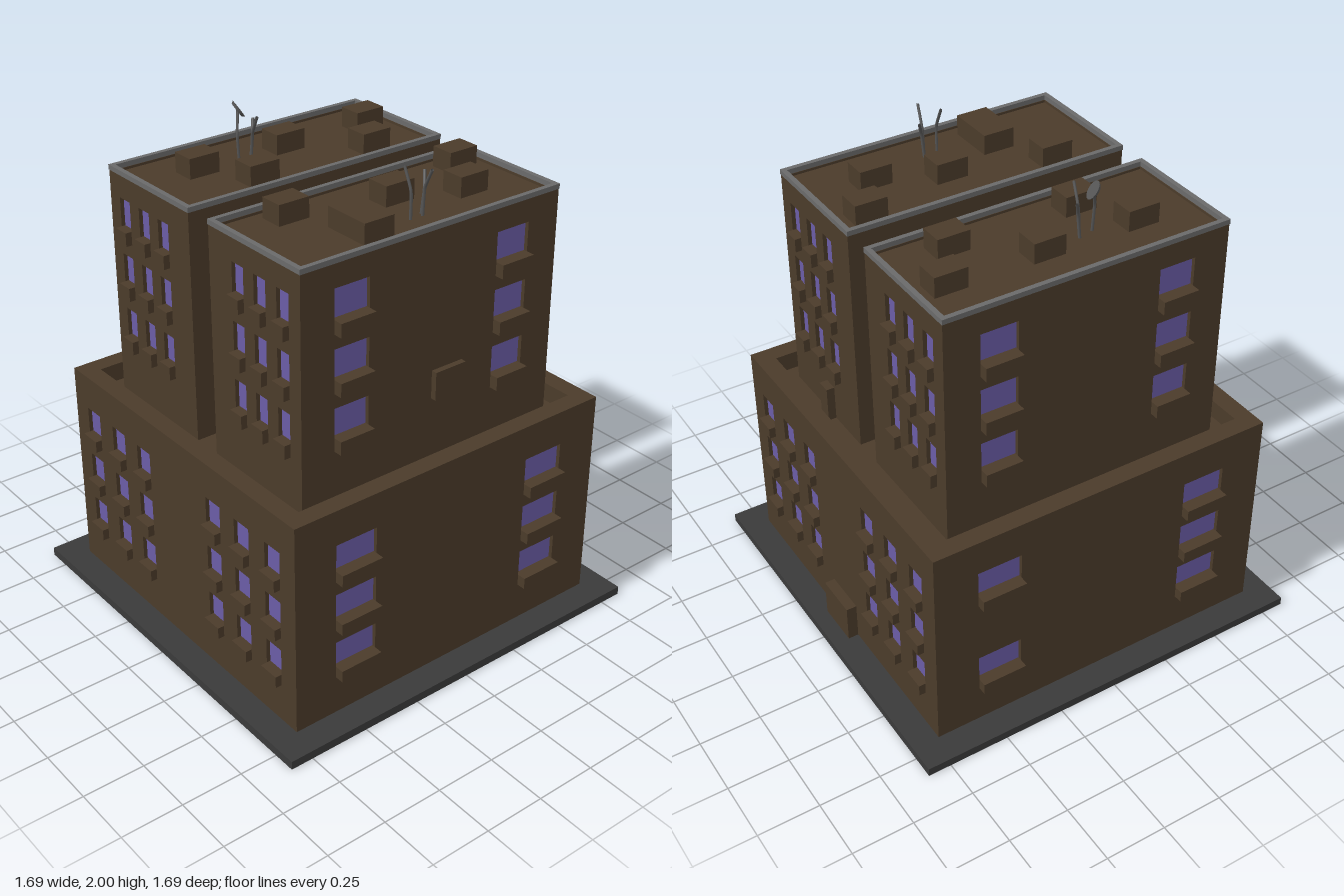
import * as THREE from 'three';

const mat = (color, extra = {}) => new THREE.MeshStandardMaterial({ color, ...extra });
const WALL = mat(0x4b3b2a), SLAB = mat(0x3a3a3a), PANE = mat(0x6a5ca6),
  TRIM = mat(0x6a6a6a), METAL = mat(0x555555, { side: THREE.DoubleSide });
const T = 0.02; // facade thickness, also window recess depth

function box(parent, name, material, x0, x1, y0, y1, z0, z1) {
  const m = new THREE.Mesh(new THREE.BoxGeometry(x1 - x0, y1 - y0, z1 - z0), material);
  m.position.set((x0 + x1) / 2, (y0 + y1) / 2, (z0 + z1) / 2);
  m.name = name;
  parent.add(m);
  return m;
}

function rect(Type, x0, x1, y0, y1) {
  return new Type([[x0, y0], [x1, y0], [x1, y1], [x0, y1]].map(([x, y]) => new THREE.Vector2(x, y)));
}

// Rectangular ring lying flat: outer half sizes hx, hz and rim width w
function ring(parent, name, material, hx, hz, w, y0, y1, cz) {
  const s = rect(THREE.Shape, -hx, hx, -hz, hz);
  s.holes.push(rect(THREE.Path, -hx + w, hx - w, -hz + w, hz - w));
  const m = new THREE.Mesh(new THREE.ExtrudeGeometry(s, { depth: y1 - y0, bevelEnabled: false }), material);
  m.rotation.x = -Math.PI / 2;
  m.position.set(0, y0, cz);
  m.name = name;
  parent.add(m);
}

// Wall panel facing local +z, with recessed windows and a planter ledge under each
function facade(name, width, y0, y1, windows, ledgeOut) {
  const g = new THREE.Group();
  g.name = name;
  const s = rect(THREE.Shape, -width / 2, width / 2, y0, y1);
  for (const { x, y, w, h, ledge } of windows) {
    const a = x - w / 2, b = x + w / 2;
    s.holes.push(rect(THREE.Path, a, b, y, y + h));
    box(g, 'windowPane', PANE, a, b, y, y + h, -T - 0.004, -T + 0.004);
    box(g, 'windowLedge', WALL, a, b, y - ledge, y, -T / 2, ledgeOut);
  }
  const wall = new THREE.Mesh(new THREE.ExtrudeGeometry(s, { depth: T, bevelEnabled: false }), WALL);
  wall.position.z = -T;
  wall.name = 'wall';
  g.add(wall);
  return g;
}

// Block with four facades around a solid core
function block(name, o) {
  const g = new THREE.Group();
  g.name = name;
  const { hx, hz, cz, y0, y1, roof } = o;
  box(g, 'core', WALL, -hx + T, hx - T, y0, roof, cz - hz + T, cz + hz - T);
  const grid = (cols, w) => cols.flatMap(x => o.rows.map((y, row) => ({ x, y, w, h: o.h, ledge: o.ledge, row })));
  const ends = grid(o.endCols, o.endW);
  const front = facade('frontWall', hx * 2, y0, y1, o.front ? ends : [], o.endOut);
  front.position.z = cz + hz;
  // local x is mirrored on the back wall
  const back = facade('backWall', hx * 2, y0, y1,
    o.back ? ends.filter(w => !(o.skipBack && w.x < 0 && w.row === 1)) : [], o.endOut);
  back.rotation.y = Math.PI;
  back.position.z = cz - hz;
  g.add(front, back);
  for (const s of [1, -1]) {
    const cols = o.sideCols.map(z => -s * (z - cz));
    const side = facade(s > 0 ? 'leftWall' : 'rightWall', (hz - T) * 2, y0, y1, grid(cols, o.sideW), o.sideOut);
    side.rotation.y = s * Math.PI / 2;
    side.position.set(s * hx, 0, cz);
    g.add(side);
  }
  return g;
}

function aerial(parent, points) {
  const curve = new THREE.CatmullRomCurve3(points.map(p => new THREE.Vector3(...p)), false, 'catmullrom', 0.2);
  const m = new THREE.Mesh(new THREE.TubeGeometry(curve, 10, 0.006, 6), METAL);
  m.name = 'aerial';
  parent.add(m);
}

export function createModel() {
  const model = new THREE.Group();
  model.name = 'building';
  box(model, 'groundSlab', SLAB, -0.845, 0.845, 0, 0.035, -0.845, 0.845);

  // Lower block with a parapet around its roof
  const lower = block('lowerBlock', {
    hx: 0.735, hz: 0.73, cz: 0, y0: 0.035, y1: 0.925, roof: 0.85,
    rows: [0.245, 0.457, 0.67], h: 0.11, ledge: 0.048,
    endCols: [-0.46, 0.46], endW: 0.185, endOut: 0.037,
    sideCols: [-0.597, -0.412, -0.233, 0.233, 0.412, 0.597], sideW: 0.09, sideOut: 0.027,
    front: true, back: true, skipBack: true,
  });
  ring(lower, 'parapet', WALL, 0.735 - T, 0.73 - T, 0.057, 0.85, 0.925, 0);
  box(lower, 'entranceDoor', WALL, 0.72, 0.778, 0.035, 0.192, -0.093, 0.093);
  model.add(lower);

  // Twin towers, mirrored front to back
  for (const s of [1, -1]) {
    const cz = s * 0.325;
    const tower = block(s > 0 ? 'frontTower' : 'backTower', {
      hx: 0.593, hz: 0.263, cz, y0: 0.85, y1: 1.785, roof: 1.775,
      rows: [1.113, 1.345, 1.575], h: 0.118, ledge: 0.055,
      endCols: [-0.372, 0.372], endW: 0.153, endOut: 0.037,
      sideCols: [0.232, 0.36, 0.49].map(z => s * z), sideW: 0.068, sideOut: 0.026,
      front: s > 0, back: s < 0,
    });
    ring(tower, 'roofTrim', TRIM, 0.595, 0.265, 0.02, 1.785, 1.805, cz);
    model.add(tower);
  }
  box(model, 'wallPanel', WALL, 0, 0.143, 1.115, 1.23, 0.575, 0.612);
  box(model, 'terraceDoor', WALL, 0.58, 0.626, 0.85, 0.997, 0.263, 0.322);

  // Rooftop units: x, z of the near corner and depth
  const units = [[-0.4, -0.43], [0, -0.43], [0.396, -0.43], [-0.268, -0.23], [0.265, -0.23],
    [-0.4, 0.12], [0.396, 0.12], [0, 0.22], [0.265, 0.323], [-0.268, 0.323, 0.2]];
  for (const [x, z, d = 0.097] of units) box(model, 'roofUnit', WALL, x, x + 0.132, 1.77, 1.856, z, z + d);

  // Two clusters of bent aerials; the rear one carries a dish
  for (const [dx, dz] of [[0, 0], [-0.165, -0.8]]) {
    const cluster = new THREE.Group();
    cluster.name = 'aerialCluster';
    cluster.position.set(dx, 0, dz);
    aerial(cluster, dz ? [[0, 1.77, 0.45], [0, 1.89, 0.44], [0.03, 1.97, 0.405]]
      : [[0, 1.77, 0.45], [0, 1.88, 0.45], [0, 1.965, 0.412]]);
    aerial(cluster, [[0.056, 1.77, 0.45], [0.058, 1.88, 0.455], [0.048, 1.965, 0.503]]);
    aerial(cluster, [[0.065, 1.77, 0.432], [0.072, 1.87, 0.438], [0.094, 1.928, 0.412]]);
    model.add(cluster);
  }
  const dish = new THREE.Mesh(new THREE.CylinderGeometry(0.037, 0.03, 0.01, 16), METAL);
  dish.quaternion.setFromUnitVectors(new THREE.Vector3(0, 1, 0), new THREE.Vector3(0.75, 0.58, 0.32).normalize());
  dish.position.set(-0.131, 1.971, -0.4);
  dish.name = 'dish';
  model.add(dish);
  return model;
}
